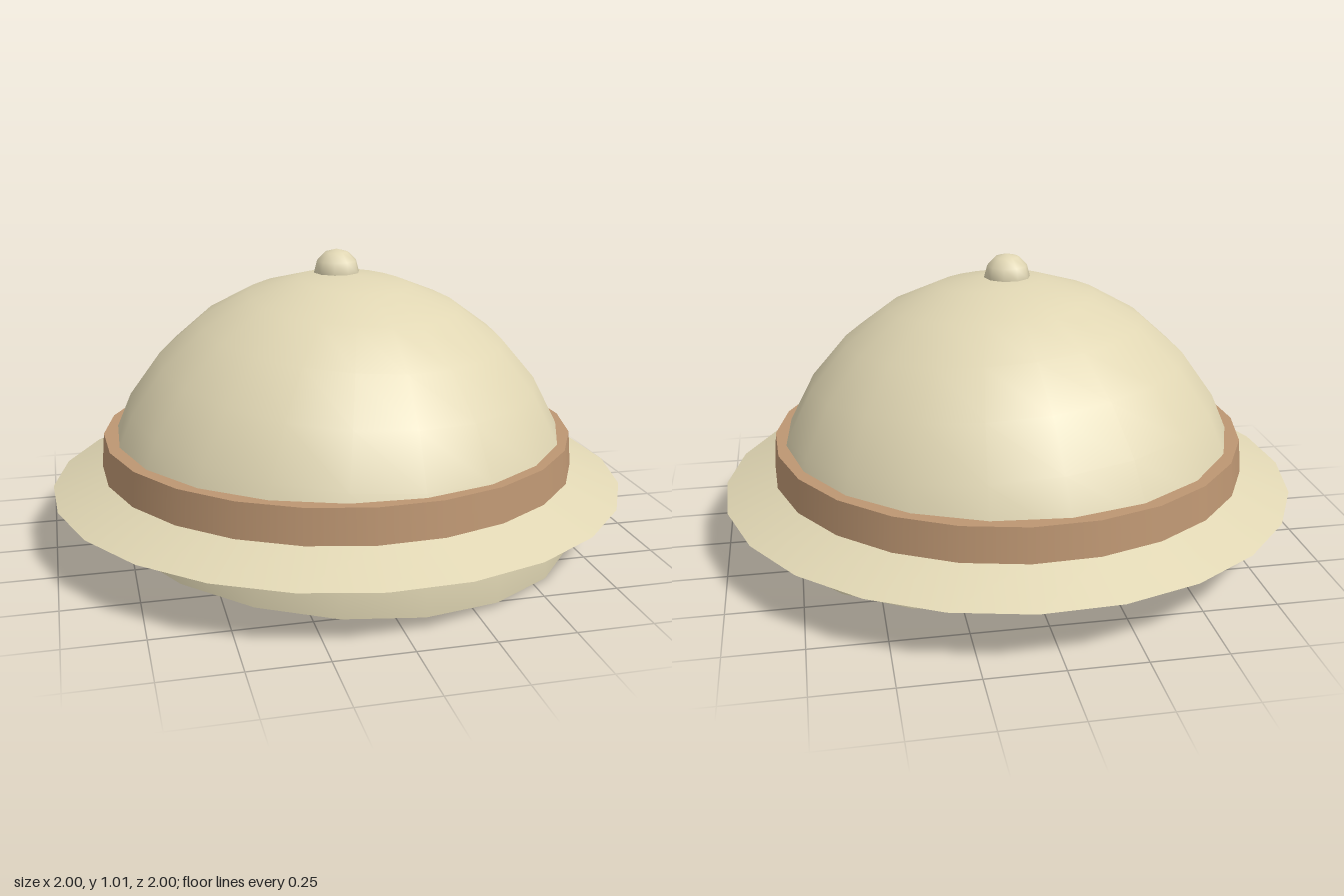
import * as THREE from 'three';

const rad = THREE.MathUtils.degToRad;

export function createModel() {
  const helmet = new THREE.Group();
  helmet.name = 'sunHelmet';
  const cloth = new THREE.MeshStandardMaterial({ color: 0xe0d6b3, side: THREE.DoubleSide });
  const leather = new THREE.MeshStandardMaterial({ color: 0xbd9672 });

  function add(name, geometry, material, y) {
    const mesh = new THREE.Mesh(geometry, material);
    mesh.name = name;
    mesh.position.y = y;
    helmet.add(mesh);
    return mesh;
  }

  // Closed tapered disc standing between two heights
  function frustum(name, rTop, rBottom, y0, y1, material) {
    const geometry = new THREE.CylinderGeometry(rTop, rBottom, y1 - y0, 24);
    add(name, geometry.rotateY(rad(10)), material, (y0 + y1) / 2);
  }

  // Half-ball shape, open below
  const halfBall = (r, sides, rings) =>
    new THREE.SphereGeometry(r, sides, rings, 0, Math.PI * 2, 0, Math.PI / 2);

  // Crown: a slightly tall open dome, leaning to the front left
  const dome = halfBall(0.84, 20, 7).scale(1, 1.02, 1).rotateY(rad(5.5));
  add('crown', dome, cloth, 0.073).rotation.set(rad(3.55), 0, rad(-3.55));

  // Sloping brim, whose flat underside closes the crown, and the band above it
  frustum('brim', 0.82, 1.003, 0.195, 0.267, cloth);
  frustum('band', 0.82, 0.83, 0.262, 0.38, leather);

  // Knob on the top of the crown
  add('topKnob', halfBall(0.08, 10, 3), cloth, 0.93);

  return helmet;
}
